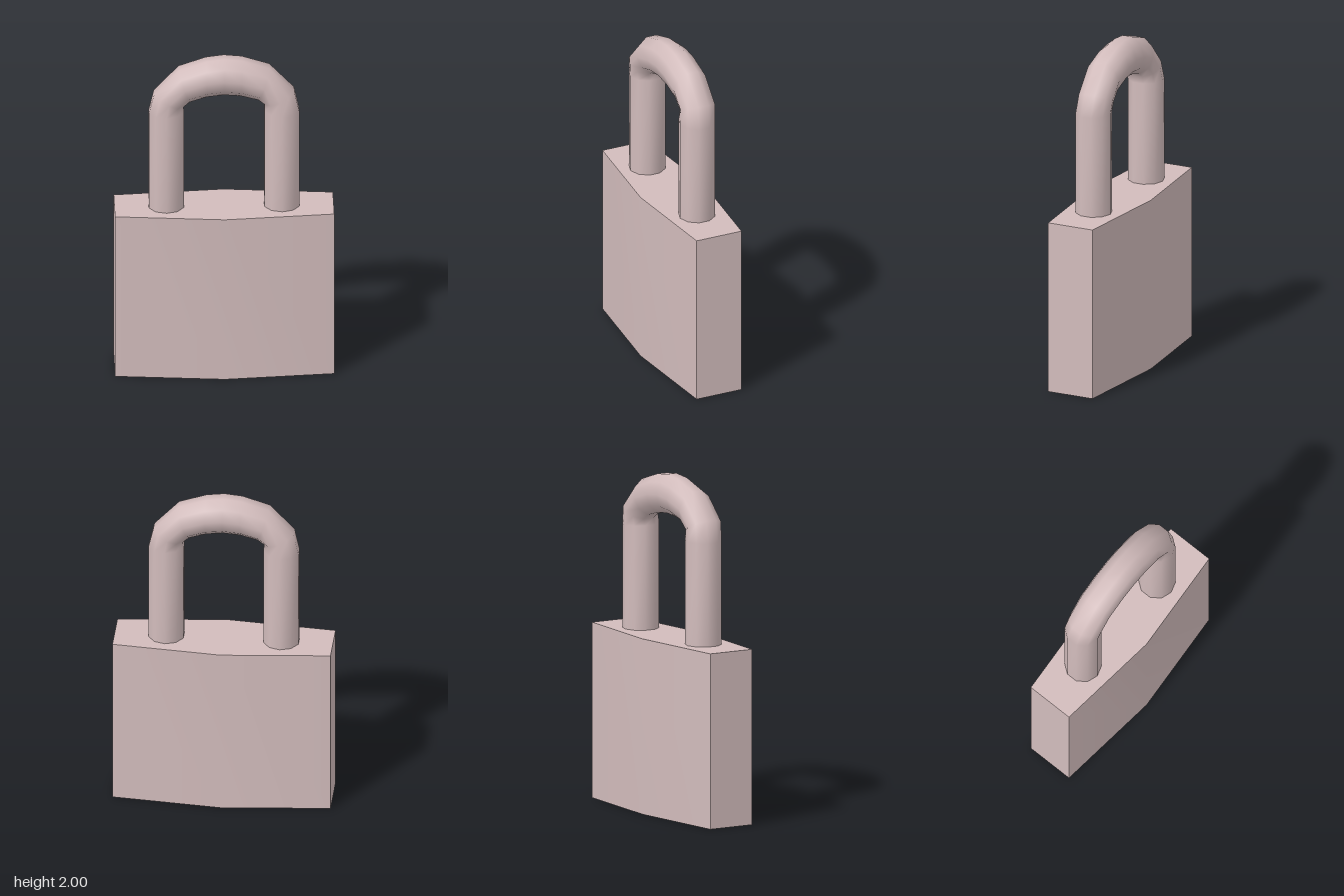
import * as THREE from 'three';
import { toCreasedNormals } from 'three/addons/utils/BufferGeometryUtils.js';

const metal = new THREE.MeshStandardMaterial({ color: 0xd2bcbc });

// Six-sided block, slightly thicker in the middle
function createBody() {
  const shape = new THREE.Shape([
    [-0.64, -0.145], [0, -0.203], [0.64, -0.145],
    [0.64, 0.145], [0, 0.203], [-0.64, 0.145],
  ].map(([x, y]) => new THREE.Vector2(x, y)));
  const geometry = new THREE.ExtrudeGeometry(shape, { depth: 1.04, bevelEnabled: false });
  geometry.rotateX(-Math.PI / 2);
  const body = new THREE.Mesh(toCreasedNormals(geometry, Math.PI / 6), metal);
  body.name = 'body';
  return body;
}

// Bent bar lofted through ten-sided rings
function createShackle() {
  const sides = 10;
  const depthRadius = 0.108;
  // Outer x, outer y, inner x, inner y, from the left leg up to the crown
  const half = [
    [0.44, 1.0, 0.235, 1.0],
    [0.44, 1.65, 0.235, 1.66],
    [0.41, 1.78, 0.237, 1.70],
    [0.265, 1.935, 0.2, 1.73],
    [0.105, 1.988, 0.1, 1.76],
  ];
  const mirrored = half.map(([ox, oy, ix, iy]) => [-ox, oy, -ix, iy]).reverse();
  const rings = [...half, [0, 2, 0, 1.77], ...mirrored];

  const positions = [];
  const indices = [];
  rings.forEach(([ox, oy, ix, iy], r) => {
    const cx = (ox + ix) / 2, cy = (oy + iy) / 2;
    const stretch = 1 / Math.cos(Math.PI / sides);
    const ux = (ox - ix) / 2 * stretch, uy = (oy - iy) / 2 * stretch;
    // The bend leans a little backward on one side and forward on the other
    const lean = cy > 1.7 ? -0.03 * cx : 0;
    for (let s = 0; s < sides; s++) {
      const a = (s + 0.5) / sides * Math.PI * 2;
      positions.push(cx + ux * Math.cos(a), cy + uy * Math.cos(a), lean - depthRadius * Math.sin(a));
      if (r === rings.length - 1) continue;
      const p = r * sides + s, q = r * sides + (s + 1) % sides;
      indices.push(p, q, q + sides, p, q + sides, p + sides);
    }
  });

  const geometry = new THREE.BufferGeometry();
  geometry.setAttribute('position', new THREE.Float32BufferAttribute(positions, 3));
  geometry.setIndex(indices);
  geometry.computeVertexNormals();
  const shackle = new THREE.Mesh(geometry, metal);
  shackle.name = 'shackle';
  return shackle;
}

export function createModel() {
  const padlock = new THREE.Group();
  padlock.name = 'padlock';
  padlock.add(createBody(), createShackle());
  return padlock;
}
